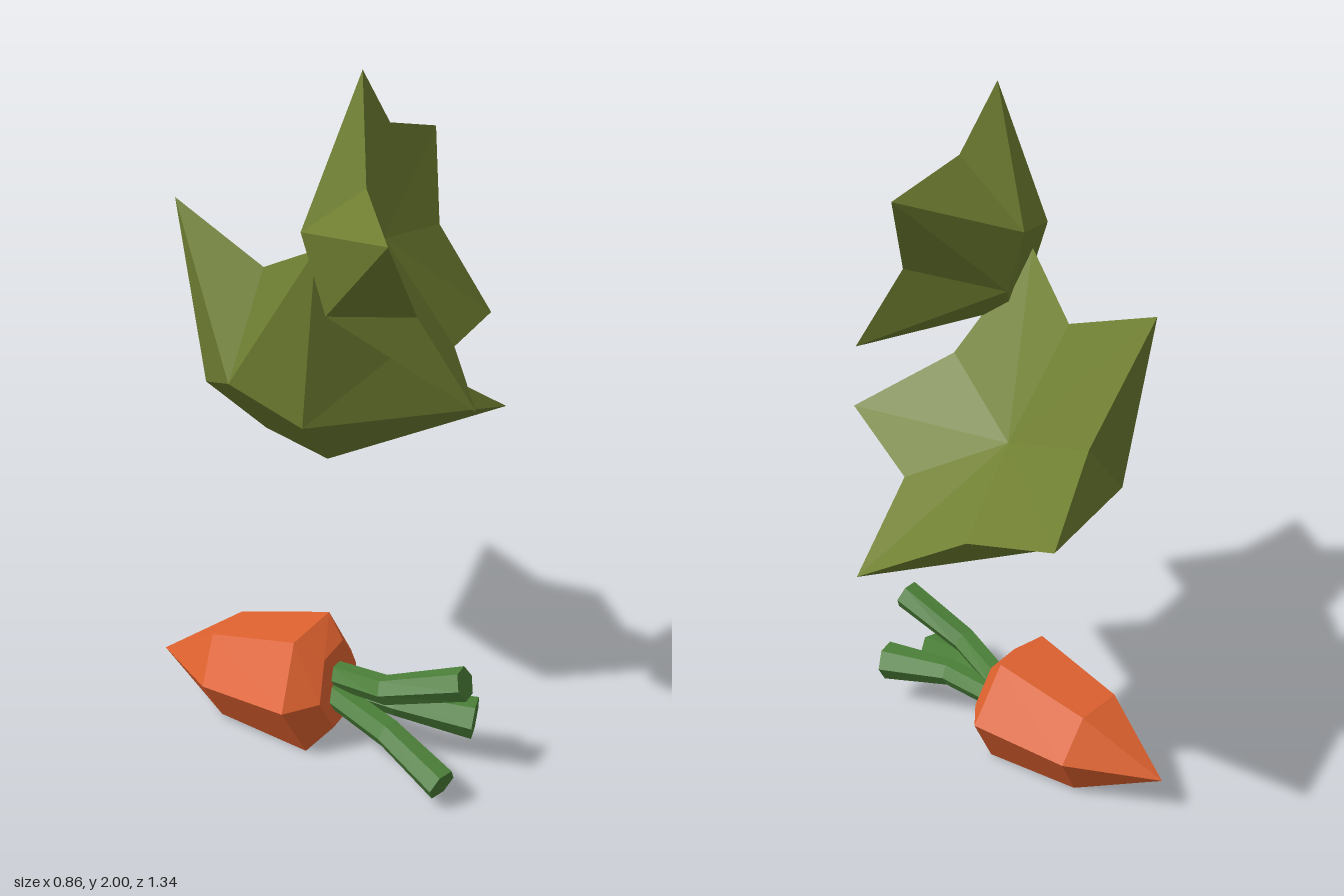
import * as THREE from 'three';

const V = (p) => new THREE.Vector3(...p);

// Faceted surface from a flat list of triangle corners
function facets(name, corners, material) {
  const geo = new THREE.BufferGeometry().setFromPoints(corners);
  geo.computeVertexNormals();
  const mesh = new THREE.Mesh(geo, material);
  mesh.name = name;
  return mesh;
}

// Six-sided loft along a path, closed at both ends
function loft(name, path, radii, material, sides = 6) {
  const pts = path.map(V), out = [];
  const rings = pts.map((c, i) => {
    const t = pts[Math.min(i + 1, pts.length - 1)].clone().sub(pts[Math.max(i - 1, 0)]).normalize();
    const s = new THREE.Vector3(0, 1, 0).cross(t).normalize();
    const u = t.clone().cross(s);
    return Array.from({ length: sides }, (_, j) => {
      const a = (j / sides) * Math.PI * 2;
      return c.clone().addScaledVector(s, radii[i] * Math.cos(a)).addScaledVector(u, radii[i] * Math.sin(a));
    });
  });
  const last = rings.length - 1;
  for (let j = 0; j < sides; j++) {
    const k = (j + 1) % sides;
    for (let i = 0; i < last; i++) {
      const a = rings[i], b = rings[i + 1];
      if (radii[i] > 0) out.push(a[j], a[k], b[k]);
      out.push(a[j], b[k], b[j]);
    }
    if (radii[0] > 0) out.push(pts[0], rings[0][k], rings[0][j]);
    out.push(pts[last], rings[last][j], rings[last][k]);
  }
  return facets(name, out, material);
}

// Cupped five-pointed leaf: tips and notches around a sunken centre, tapering to a back pentagon
function starLeaf(name, centre, tips, notches, back, material) {
  const C = V(centre), T = tips.map(V), N = notches.map(V), B = back.map(V), out = [];
  for (let i = 0; i < 5; i++) {
    const p = (i + 4) % 5;
    out.push(C, N[i], T[i], C, T[i], N[p]);
    out.push(T[i], N[i], B[i], T[i], B[i], B[p], T[i], B[p], N[p]);
  }
  out.push(B[2], B[3], B[4], B[2], B[4], B[0], B[2], B[0], B[1]);
  return facets(name, out, material);
}

export function createModel() {
  const mat = (name, color) => {
    const m = new THREE.MeshStandardMaterial({ color });
    m.name = name;
    return m;
  };
  const orange = mat('carrot orange', 0xe0622f);
  const stemGreen = mat('stem green', 0x4b7f38);
  const leafGreen = mat('leaf olive green', 0x6f7f31);

  const group = new THREE.Group();
  group.name = 'carrotAndLeaves';

  // Carrot root, lying down
  group.add(loft('carrotRoot',
    [[-0.35, 0.13, -0.48], [-0.26, 0.15, -0.25], [-0.15, 0.178, 0.03], [-0.12, 0.187, 0.09]],
    [0, 0.155, 0.203, 0.125], orange));

  // Three bent stems
  const stems = [
    [[-0.12, 0.21, 0.07], [-0.1, 0.25, 0.28], [0, 0.335, 0.495]],
    [[-0.1, 0.17, 0.06], [-0.03, 0.17, 0.25], [0.105, 0.15, 0.43]],
    [[-0.14, 0.165, 0.07], [-0.13, 0.145, 0.33], [-0.11, 0.075, 0.53]],
  ];
  stems.forEach((path, i) => group.add(loft('stem' + (i + 1), path, [0.04, 0.042, i === 1 ? 0.06 : 0.048], stemGreen)));

  // Upper leaf
  group.add(starLeaf('upperLeaf', [-0.17, 1.585, 0.34],
    [[-0.24, 2, 0.34], [0.19, 1.78, 0.12], [0.22, 1.31, 0.32], [-0.16, 1.23, 0.67], [-0.43, 1.68, 0.66]],
    [[-0.07, 1.84, 0.24], [0.11, 1.55, 0.23], [-0.04, 1.31, 0.46], [-0.28, 1.47, 0.59], [-0.31, 1.75, 0.44]],
    [[-0.2, 1.64, 0.11], [-0.16, 1.47, 0.13], [-0.23, 1.37, 0.24], [-0.33, 1.41, 0.31], [-0.35, 1.61, 0.24]],
    leafGreen));

  // Lower leaf
  group.add(starLeaf('lowerLeaf', [-0.05, 1.12, -0.08],
    [[-0.29, 1.56, -0.41], [0.15, 1.13, -0.67], [0.43, 0.85, -0.12], [0.19, 1.08, 0.42], [-0.29, 1.55, 0.22]],
    [[-0.07, 1.26, -0.46], [0.21, 1, -0.33], [0.19, 1, 0.08], [-0.07, 1.25, 0.28], [-0.24, 1.43, -0.07]],
    [[-0.27, 1.04, -0.32], [-0.1, 0.87, -0.27], [-0.1, 0.87, 0.02], [-0.27, 1.04, 0.13], [-0.35, 1.12, -0.09]],
    leafGreen));

  return group;
}
